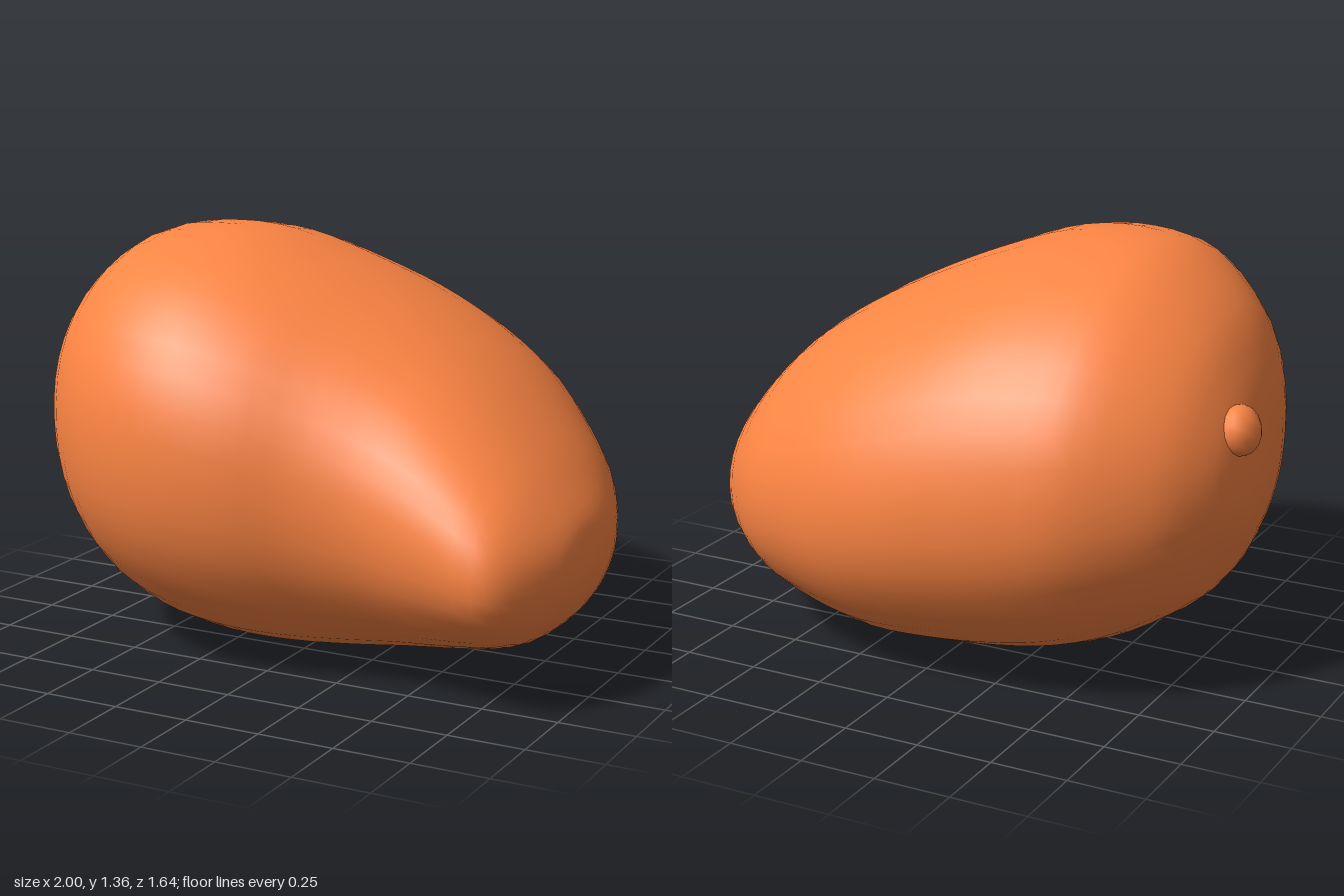
import * as THREE from 'three';

// Cross-sections along the fruit: x, bottom y, top y, back z, front z
const SECTIONS = [
  [-0.966, 0.69, 0.69, -0.12, -0.12],
  [-0.96, 0.6, 0.79, -0.22, -0.03],
  [-0.945, 0.53, 0.88, -0.32, 0.06],
  [-0.9, 0.425, 1.01, -0.43, 0.28],
  [-0.8, 0.265, 1.175, -0.57, 0.49],
  [-0.6, 0.125, 1.325, -0.72, 0.7],
  [-0.4, 0.045, 1.36, -0.78, 0.795],
  [-0.2, 0.01, 1.345, -0.81, 0.82],
  [0, 0, 1.28, -0.82, 0.79],
  [0.2, 0.005, 1.195, -0.8, 0.715],
  [0.4, 0.035, 1.09, -0.735, 0.68],
  [0.6, 0.08, 0.955, -0.63, 0.7],
  [0.8, 0.147, 0.775, -0.415, 0.715],
  [0.9, 0.215, 0.665, -0.23, 0.645],
  [0.97, 0.305, 0.57, -0.02, 0.49],
  [0.993, 0.37, 0.49, 0.12, 0.37],
  [1, 0.43, 0.43, 0.25, 0.25],
];
const RINGS = 48, SIDES = 40;

// Slightly squared sine and cosine, for fuller cross-sections
const fuller = v => Math.sign(v) * Math.abs(v) ** 0.94;

// Skin lofted through smoothly interpolated ellipses, their tops leaning forward
function fruitGeometry() {
  const heights = new THREE.CatmullRomCurve3(
    SECTIONS.map(s => new THREE.Vector3(s[0], s[1], s[2])), false, 'catmullrom', 0.5);
  const depths = new THREE.CatmullRomCurve3(
    SECTIONS.map(s => new THREE.Vector3(s[0], s[3], s[4])), false, 'catmullrom', 0.5);
  const pos = [], index = [];

  for (let i = 1; i < RINGS; i++) {
    const h = heights.getPoint(i / RINGS), d = depths.getPoint(i / RINGS);
    const cy = (h.y + h.z) / 2, ry = (h.z - h.y) / 2;
    const cz = (d.y + d.z) / 2, rz = (d.z - d.y) / 2;
    const lean = 0.12 * (1 - THREE.MathUtils.smoothstep(h.x, 0, 0.8));
    for (let j = 0; j < SIDES; j++) {
      const a = (j / SIDES) * Math.PI * 2;
      const s = fuller(Math.sin(a)), c = fuller(Math.cos(a));
      pos.push(h.x, cy + ry * s, cz + rz * c + lean * ry * (s + s * s) / 2);
    }
  }
  const at = (i, j) => i * SIDES + (j % SIDES);
  for (let i = 0; i < RINGS - 2; i++) {
    for (let j = 0; j < SIDES; j++) {
      index.push(at(i, j), at(i + 1, j), at(i, j + 1));
      index.push(at(i + 1, j), at(i + 1, j + 1), at(i, j + 1));
    }
  }
  // Closing points at the blunt end and the tip
  const start = pos.length / 3, end = start + 1;
  for (const s of [SECTIONS[0], SECTIONS[SECTIONS.length - 1]]) pos.push(s[0], s[1], s[3]);
  for (let j = 0; j < SIDES; j++) {
    index.push(start, at(0, j), at(0, j + 1));
    index.push(end, at(RINGS - 2, j + 1), at(RINGS - 2, j));
  }

  const geo = new THREE.BufferGeometry();
  geo.setAttribute('position', new THREE.Float32BufferAttribute(pos, 3));
  geo.setIndex(index);
  geo.computeVertexNormals();
  return geo;
}

export function createModel() {
  const group = new THREE.Group();
  group.name = 'fruit';
  const material = new THREE.MeshStandardMaterial({ color: 0xff8644 });

  const body = new THREE.Mesh(fruitGeometry(), material);
  body.name = 'fruitBody';
  group.add(body);

  // Small stem nub on the blunt end
  const stem = new THREE.Mesh(new THREE.SphereGeometry(1, 12, 8), material);
  stem.name = 'stemNub';
  stem.scale.set(0.055, 0.08, 0.085);
  stem.position.set(-0.943, 0.87, -0.22);
  stem.rotation.set(0, -0.2, -0.25);
  group.add(stem);

  return group;
}
